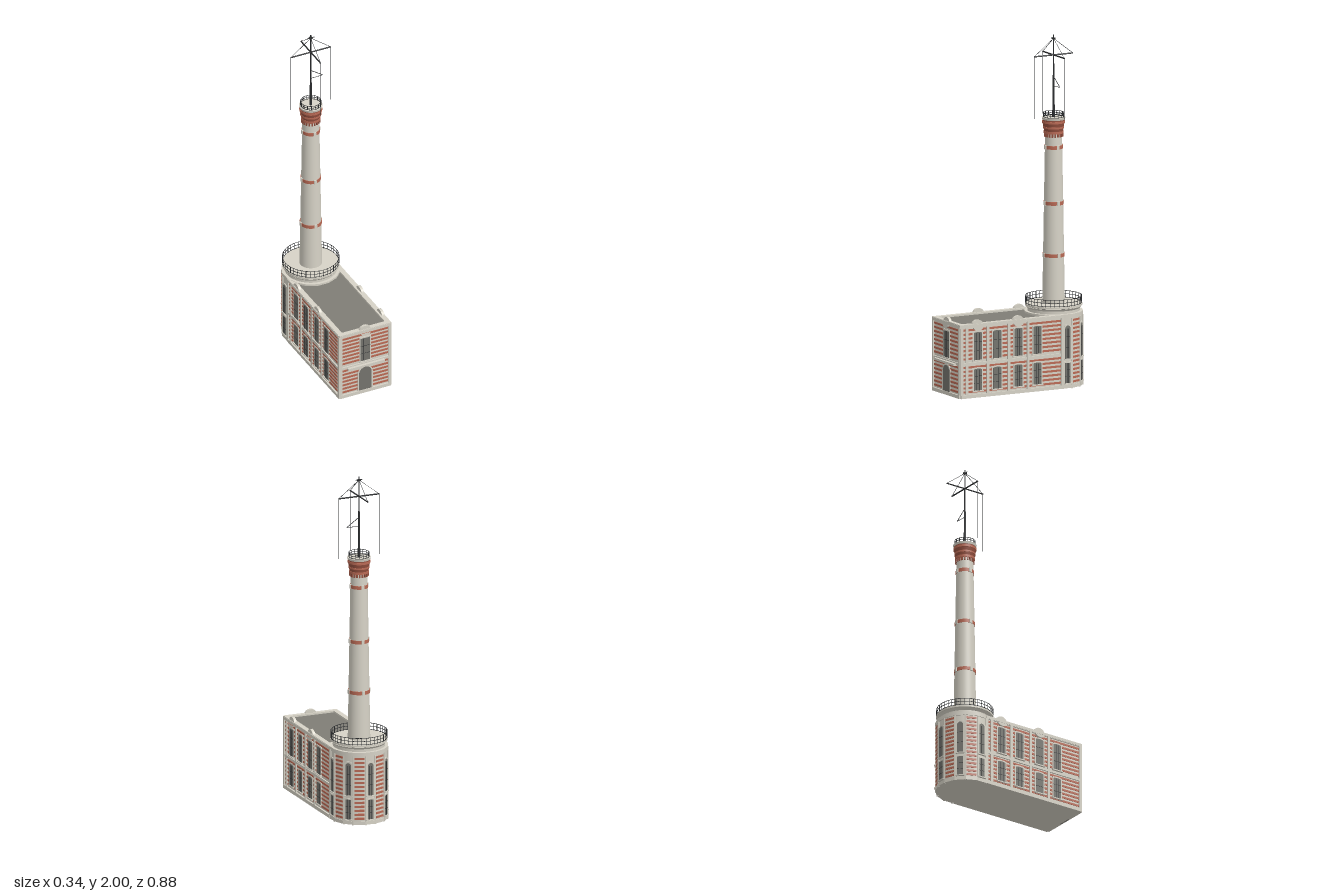
import * as THREE from 'three';

const paint = (name, hex) => Object.assign(new THREE.MeshStandardMaterial({ color: hex }), { name });
const STONE = paint('pale stone', 0xd6d2c6);
const BRICK = paint('red brick', 0xb96a55);
const DARK_BRICK = paint('dark brick', 0x95503f);
const ROOF = paint('grey roof', 0x7f7d76);
const GLASS = paint('grey glass', 0x74736d);
const IRON = paint('black iron', 0x2b2d2f);

const ZC = -0.275; // centre of the round end and the chimney

function add(parent, name, geo, mat, x = 0, y = 0, z = 0) {
  const m = new THREE.Mesh(geo, mat);
  m.name = name;
  m.position.set(x, y, z);
  parent.add(m);
  return m;
}
const box = (p, name, mat, w, h, d, x, y, z) => add(p, name, new THREE.BoxGeometry(w, h, d), mat, x, y, z);
const drum = (p, name, mat, rTop, rBot, y0, y1, seg = 32) =>
  add(p, name, new THREE.CylinderGeometry(rTop, rBot, y1 - y0, seg), mat, 0, (y0 + y1) / 2, 0);

function group(parent, name, x = 0, y = 0, z = 0, ry = 0) {
  const g = new THREE.Group();
  g.name = name;
  g.position.set(x, y, z);
  g.rotation.y = ry;
  parent.add(g);
  return g;
}

// straight round bar between two points
function bar(p, name, a, b, r, mat = IRON) {
  const va = new THREE.Vector3(...a), vb = new THREE.Vector3(...b);
  const dir = vb.clone().sub(va);
  const m = add(p, name, new THREE.CylinderGeometry(r, r, dir.length(), 6), mat);
  m.position.copy(va.add(vb).multiplyScalar(0.5));
  m.quaternion.setFromUnitVectors(new THREE.Vector3(0, 1, 0), dir.normalize());
}

// flat plate with a curved head; rise 0 gives a rectangle
function archPlate(w, h, rise, depth) {
  const s = new THREE.Shape();
  s.moveTo(-w / 2, 0);
  s.lineTo(w / 2, 0);
  s.lineTo(w / 2, h - rise);
  if (rise > 0) s.absellipse(0, h - rise, w / 2, rise, 0, Math.PI, false);
  else s.lineTo(-w / 2, h);
  s.closePath();
  return new THREE.ExtrudeGeometry(s, { depth, bevelEnabled: false, curveSegments: 10 });
}

// window: stone surround, glass, glazing bars and sill
function windowUnit(p, x, y, w, h, rise) {
  const g = group(p, 'window', x, y, 0);
  add(g, 'windowSurround', archPlate(w + 0.014, h + 0.008, rise, 0.005), STONE);
  add(g, 'windowGlass', archPlate(w, h, rise, 0.006), GLASS);
  for (const i of [-1, 1]) box(g, 'glazingBar', IRON, 0.0015, h - rise, 0.002, i * w / 6, (h - rise) / 2, 0.0065);
  for (const f of [0.33, 0.66]) box(g, 'glazingBar', IRON, w, 0.0015, 0.002, 0, h * f, 0.0065);
  box(g, 'windowSill', STONE, w + 0.018, 0.006, 0.012, 0, -0.003, 0.006);
}

function stripes(p, w, y0, y1) {
  for (let y = y0; y <= y1; y += 0.0235) box(p, 'brickCourse', BRICK, w, 0.0115, 0.006, 0, y, 0);
}

// curved gable standing on the parapet, with a hood below it
function gable(p, x) {
  add(p, 'gable', archPlate(0.072, 0.04, 0.032, 0.016), STONE, x, 0.405, -0.012);
  const hood = add(p, 'gableHood', new THREE.CylinderGeometry(0.03, 0.03, 0.012, 16, 1, false, -Math.PI / 2, Math.PI), STONE, x, 0.402, 0.007);
  hood.rotation.x = Math.PI / 2;
  hood.scale.z = 0.6;
}

// wall dressing; local x runs along the wall, local z points out
function facade(parent, name, x, z, ry, width, pilasters) {
  const g = group(parent, name, x, 0, z, ry);
  stripes(g, width, 0.035, 0.178);
  stripes(g, width, 0.225, 0.395);
  for (const u of pilasters) box(g, 'pilaster', STONE, 0.016, 0.41, 0.018, u, 0.205, 0);
  box(g, 'plinth', STONE, width, 0.02, 0.02, 0, 0.01, 0);
  box(g, 'stringCourse', STONE, width, 0.014, 0.016, 0, 0.196, 0);
  box(g, 'cornice', STONE, width, 0.014, 0.018, 0, 0.413, 0);
  return g;
}

function railing(p, r, y0, y1, posts) {
  const g = group(p, 'railing');
  for (const f of [0.08, 0.55, 1]) {
    const t = add(g, 'rail', new THREE.TorusGeometry(r, 0.0016, 6, 48), IRON, 0, y0 + (y1 - y0) * f, 0);
    t.rotation.x = Math.PI / 2;
  }
  for (let i = 0; i < posts; i++) {
    const a = i / posts * Math.PI * 2;
    box(g, 'railPost', IRON, 0.0025, y1 - y0, 0.0025, r * Math.cos(a), (y0 + y1) / 2, r * Math.sin(a));
  }
}

function buildHall(root) {
  const hall = group(root, 'hall');
  box(hall, 'hallWalls', STONE, 0.314, 0.41, 0.66, 0, 0.205, 0.083);
  box(hall, 'flatRoof', ROOF, 0.28, 0.004, 0.6, 0, 0.411, 0.095);
  for (const s of [-1, 1]) box(hall, 'parapet', STONE, 0.03, 0.02, 0.66, s * 0.149, 0.413, 0.085);
  box(hall, 'frontParapet', STONE, 0.325, 0.02, 0.028, 0, 0.413, 0.406);

  // the two long sides are the same wall turned half round
  for (const s of [-1, 1]) {
    const wall = facade(hall, 'sideWall', s * 0.157, 0.085, s * Math.PI / 2, 0.66, [-0.322, -0.29, -0.155, -0.02, 0.105, 0.325]);
    for (const u of [-0.22, -0.095, 0.042, 0.165]) {
      windowUnit(wall, u, 0.04, 0.052, 0.125, 0.006);
      windowUnit(wall, u, 0.215, 0.052, 0.16, 0.006);
    }
    gable(wall, -0.22);
    gable(wall, 0.042);
  }

  const front = facade(hall, 'frontWall', 0, 0.413, 0, 0.316, [-0.152, 0.152]);
  windowUnit(front, 0, 0.215, 0.06, 0.15, 0);
  add(front, 'doorSurround', archPlate(0.094, 0.178, 0.047, 0.005), STONE);
  add(front, 'door', archPlate(0.078, 0.17, 0.039, 0.006), GLASS);
  box(front, 'doorSeam', IRON, 0.0015, 0.13, 0.002, 0, 0.065, 0.0065);
  box(front, 'frontLedge', STONE, 0.23, 0.012, 0.026, 0, 0.19, 0.011);
  gable(front, 0);
}

function buildRoundEnd(root) {
  const end = group(root, 'roundEnd', 0, 0, ZC);
  const poly = (name, r, y0, y1) => { drum(end, name, STONE, r, r, y0, y1, 16).rotation.y = Math.PI / 16; };
  poly('roundEndWalls', 0.163, 0, 0.42);
  poly('roundEndCornice', 0.1675, 0.402, 0.424);

  // sixteen-sided wall: windows and brick courses alternate
  for (let k = -4; k <= 4; k++) {
    const a = Math.PI + k * Math.PI / 8;
    const facet = group(end, 'roundEndFacet', 0.16 * Math.sin(a), 0, 0.16 * Math.cos(a), a);
    box(facet, 'plinth', STONE, 0.066, 0.02, 0.01, 0, 0.01, 0);
    if (k % 2 === 0) {
      windowUnit(facet, 0, 0.03, 0.034, 0.115, 0);
      windowUnit(facet, 0, 0.17, 0.034, 0.19, 0.017);
      for (const s of [-1, 1]) box(facet, 'pilaster', STONE, 0.008, 0.405, 0.012, s * 0.028, 0.2, 0);
    } else stripes(facet, 0.056, 0.035, 0.395);
  }

  // terrace around the chimney foot
  drum(end, 'terraceBase', STONE, 0.148, 0.148, 0.41, 0.44, 48);
  drum(end, 'terraceMoulding', STONE, 0.16, 0.15, 0.44, 0.452, 48);
  drum(end, 'terraceFloor', STONE, 0.162, 0.162, 0.455, 0.466, 48);
  drum(end, 'terraceShadowGap', GLASS, 0.153, 0.153, 0.45, 0.456, 48);
  railing(end, 0.16, 0.466, 0.507, 40);
}

function buildChimney(root) {
  const ch = group(root, 'chimney', 0, 0, ZC);
  const shaftR = y => 0.064 - (y - 0.46) * 0.0165;
  drum(ch, 'chimneyShaft', STONE, shaftR(1.45), shaftR(0.46), 0.46, 1.45, 40);
  for (const y of [0.742, 1.04, 1.36]) {
    const r = shaftR(y) + 0.003;
    drum(ch, 'brickBand', BRICK, r, r, y - 0.01, y + 0.01, 40);
    for (let i = 0; i < 4; i++) {
      const a = i * Math.PI / 2;
      const lug = box(ch, 'bandAnchor', STONE, 0.016, 0.024, 0.008, r * Math.sin(a), y, r * Math.cos(a));
      lug.rotation.y = a;
    }
  }
  // stepped brick crown with corbels
  for (let i = 0; i < 20; i++) {
    const a = i / 20 * Math.PI * 2;
    box(ch, 'corbel', DARK_BRICK, 0.008, 0.022, 0.008, 0.051 * Math.sin(a), 1.43, 0.051 * Math.cos(a)).rotation.y = a;
  }
  const crown = [[1.438, 1.452, 0.056, 0.056, BRICK], [1.452, 1.468, 0.057, 0.054, DARK_BRICK], [1.468, 1.478, 0.06, 0.06, BRICK],
    [1.478, 1.498, 0.062, 0.058, DARK_BRICK], [1.498, 1.51, 0.065, 0.065, BRICK], [1.51, 1.517, 0.062, 0.062, DARK_BRICK], [1.517, 1.53, 0.067, 0.064, STONE]];
  for (const [y0, y1, rt, rb, mat] of crown) drum(ch, 'crownCourse', mat, rt, rb, y0, y1, 40);
  railing(ch, 0.058, 1.53, 1.556, 16);
}

function buildMast(root) {
  const mast = group(root, 'mast', 0, 0, ZC);
  drum(mast, 'lowerMast', IRON, 0.006, 0.008, 1.53, 1.64, 12);
  drum(mast, 'middleMast', IRON, 0.004, 0.006, 1.64, 1.82, 12);
  drum(mast, 'upperMast', IRON, 0.003, 0.004, 1.82, 2.0, 12);
  drum(mast, 'mastCollar', IRON, 0.012, 0.012, 1.978, 1.983, 12);
  bar(mast, 'topSpreader', [-0.022, 1.982, 0], [0.022, 1.982, 0], 0.002);
  const L = 0.125;
  for (const [x, z] of [[L, 0], [-L, 0], [0, L], [0, -L]]) {
    bar(mast, 'crossArm', [0, 1.885, 0], [x, 1.885, z], 0.004);
    bar(mast, 'stayWire', [0, 1.98, 0], [x, 1.885, z], 0.0013);
    if (z >= 0) bar(mast, 'hangingWire', [x, 1.885, z], [x, 1.53, z], 0.0012);
  }
  // small bracket on the mast
  bar(mast, 'bracketStay', [0, 1.762, 0], [0.075, 1.71, 0], 0.0018);
  bar(mast, 'bracketArm', [0, 1.708, 0], [0.075, 1.71, 0], 0.0015);
}

export function createModel() {
  const root = new THREE.Group();
  root.name = 'chimneyHouse';
  buildHall(root);
  buildRoundEnd(root);
  buildChimney(root);
  buildMast(root);
  return root;
}
